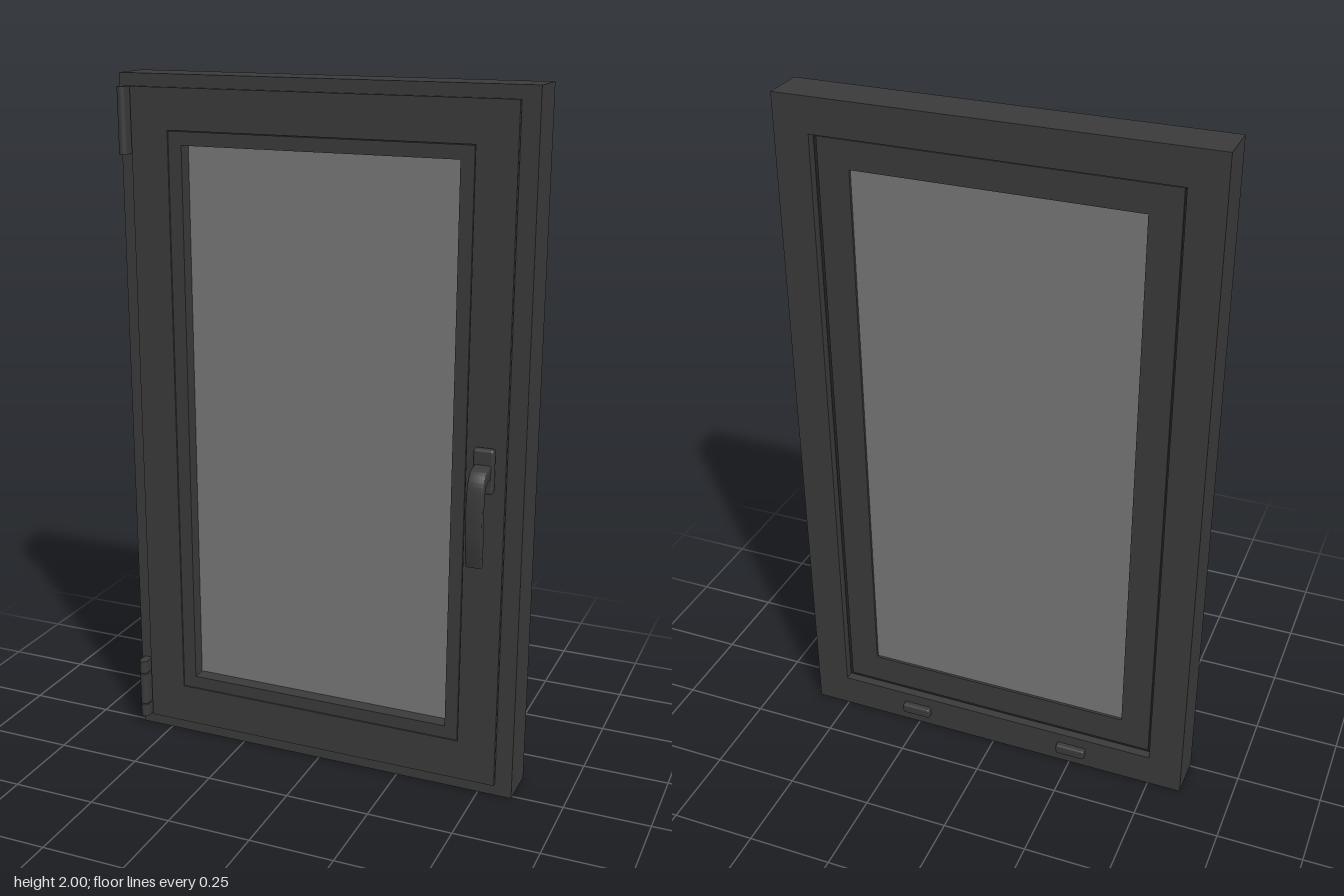
import * as THREE from 'three';
import { toCreasedNormals } from 'three/addons/utils/BufferGeometryUtils.js';
import { RoundedBoxGeometry } from 'three/addons/geometries/RoundedBoxGeometry.js';

const dark = new THREE.MeshStandardMaterial({ color: 0x3a3a3a });
const rubber = new THREE.MeshStandardMaterial({ color: 0x222222 });
const glass = new THREE.MeshStandardMaterial({ color: 0x777777 });

function add(parent, name, geometry, material = dark) {
  const mesh = new THREE.Mesh(geometry, material);
  mesh.name = name;
  parent.add(mesh);
  return mesh;
}

function rectangle(Type, [x0, x1, y0, y1]) {
  return new Type([[x0, y0], [x1, y0], [x1, y1], [x0, y1]].map(p => new THREE.Vector2(...p)));
}

// Rectangular ring between two [x0, x1, y0, y1] outlines, from z0 to z1
function ring(outer, inner, z0, z1) {
  const shape = rectangle(THREE.Shape, outer);
  shape.holes.push(rectangle(THREE.Path, inner));
  return new THREE.ExtrudeGeometry(shape, { depth: z1 - z0, bevelEnabled: false }).translate(0, 0, z0);
}

function roundedBox(w, h, d, r, x, y, z) {
  return new RoundedBoxGeometry(w, h, d, 3, r).translate(x, y, z);
}

// Curved lever: side profile extruded across its width, with softened edges
function leverGeometry(width) {
  const b = 0.004;
  const v = (z, y) => new THREE.Vector2(z, y);
  const s = new THREE.Shape();
  s.moveTo(0.05, 1.008);
  s.lineTo(0.075, 1.008);
  s.splineThru([v(0.1, 1.0), v(0.119, 0.975), v(0.127, 0.93), v(0.129, 0.87), v(0.126, 0.81), v(0.113, 0.742)]);
  s.lineTo(0.108, 0.744);
  s.splineThru([v(0.108, 0.8), v(0.112, 0.87), v(0.111, 0.925), v(0.104, 0.958), v(0.088, 0.973), v(0.075, 0.975)]);
  s.lineTo(0.05, 0.975);
  s.closePath();
  const g = new THREE.ExtrudeGeometry(s, {
    depth: width - 2 * b, bevelSize: b, bevelThickness: b, bevelSegments: 3, curveSegments: 30,
  });
  g.translate(0, 0, -width / 2 + b).rotateY(-Math.PI / 2); // profile x becomes z
  return toCreasedNormals(g, 0.6);
}

function createHandle() {
  const handle = new THREE.Group();
  handle.name = 'handle';
  add(handle, 'handleSeat', new THREE.BoxGeometry(0.04, 0.1, 0.012).translate(0.496, 0.99, 0.034));
  add(handle, 'handleRosette', roundedBox(0.058, 0.126, 0.026, 0.008, 0.496, 0.992, 0.049));
  add(handle, 'handleLever', leverGeometry(0.046).translate(0.496, 0, 0));
  return handle;
}

// Hinge knuckle: round barrel with a flat back, and a leaf reaching the sash
function addHinge(parent, name, y0, y1) {
  const r = 0.013, h = y1 - y0, y = (y0 + y1) / 2, x = -0.578;
  const hinge = new THREE.Group();
  hinge.name = name;
  add(hinge, 'hingeBarrel', new THREE.CylinderGeometry(r, r, h, 24).translate(x, y, 0.041));
  add(hinge, 'hingeBody', new THREE.BoxGeometry(2 * r, h, 0.03).translate(x, y, 0.026));
  add(hinge, 'hingeLeaf', new THREE.BoxGeometry(0.03, h, 0.006).translate(x + 0.016, y, 0.016));
  parent.add(hinge);
}

export function createModel() {
  const model = new THREE.Group();
  model.name = 'window';

  // Fixed outer frame
  add(model, 'outerFrame', ring([-0.6, 0.6, 0, 2], [-0.5, 0.5, 0.1, 1.9], -0.116, 0.012));

  // Opening sash: body inside the frame, overlapping flange in front
  const sash = new THREE.Group();
  sash.name = 'sash';
  model.add(sash);
  const opening = [-0.403, 0.4, 0.2, 1.81];
  const beadOuter = [-0.445, 0.44, 0.16, 1.85];
  add(sash, 'sashBody', ring([-0.49, 0.49, 0.11, 1.89], opening, -0.095, 0.019));
  add(sash, 'sashFlange', ring([-0.558, 0.552, 0.04, 1.965], beadOuter, 0.018, 0.031));
  add(sash, 'glazingBead', ring([-0.443, 0.438, 0.162, 1.848], opening, 0.018, 0.03));

  // Seals between frame and sash
  add(model, 'frontGasket', ring([-0.55, 0.544, 0.048, 1.957], [-0.48, 0.48, 0.12, 1.88], 0.011, 0.0185), rubber);
  add(model, 'backGasket', ring([-0.502, 0.502, 0.098, 1.902], [-0.485, 0.485, 0.115, 1.885], -0.09, -0.08), rubber);

  // Glazing unit
  add(model, 'glassPane', new THREE.BoxGeometry(0.81, 1.62, 0.075).translate(-0.0015, 1.005, -0.0495), glass);

  model.add(createHandle());

  // Hinges on the right-hand edge
  addHinge(model, 'topHinge', 1.78, 1.965);
  [[0.04, 0.079], [0.083, 0.182], [0.187, 0.226]].forEach(([a, b], i) => addHinge(model, `bottomHinge${i + 1}`, a, b));

  // Drain covers at the back
  for (const side of [-1, 1]) {
    add(model, side < 0 ? 'rightDrainCover' : 'leftDrainCover',
      roundedBox(0.09, 0.032, 0.03, 0.007, side * 0.255, 0.052, -0.119));
  }
  return model;
}
